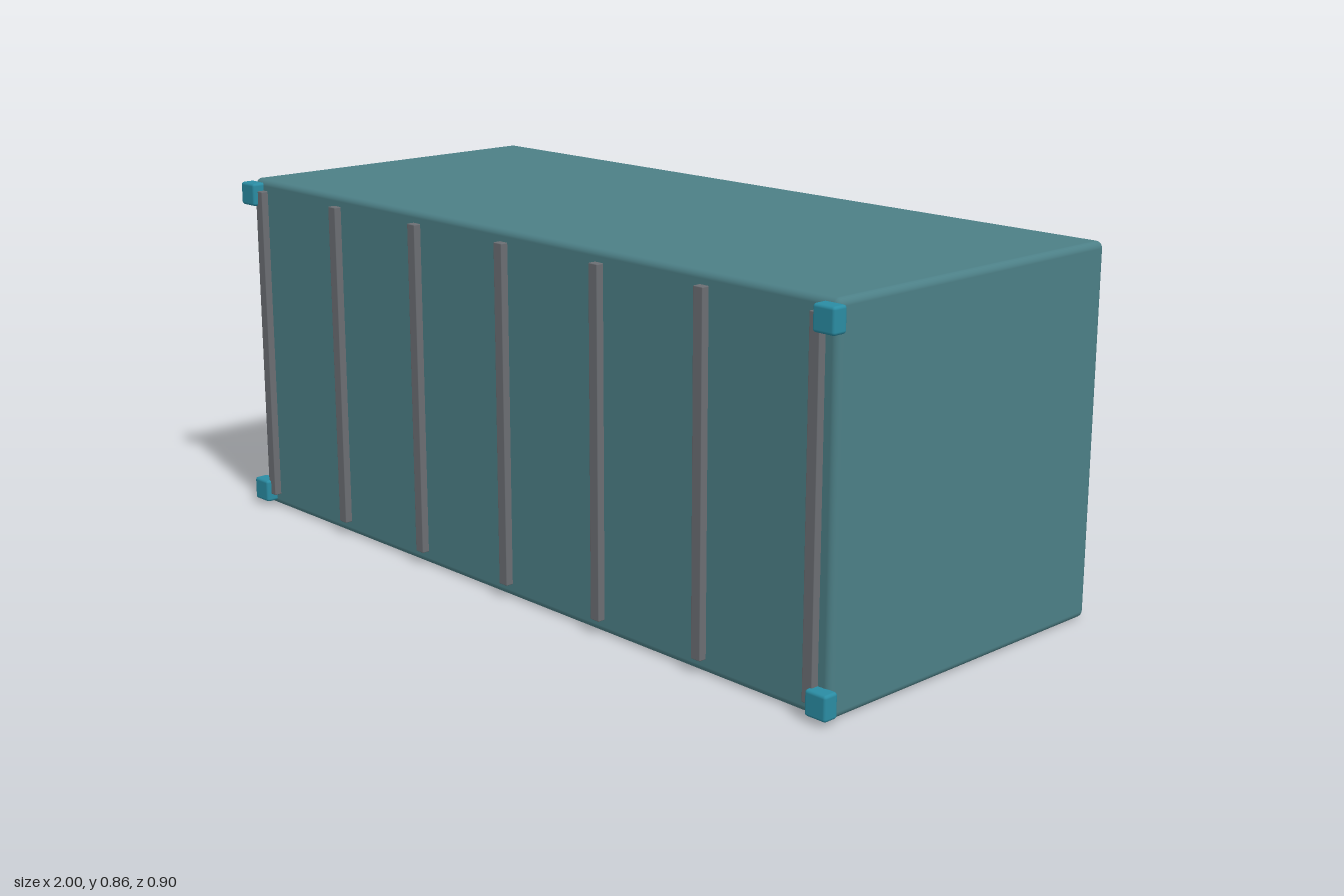
import * as THREE from 'three';
import { RoundedBoxGeometry } from 'three/addons/geometries/RoundedBoxGeometry.js';

export function createModel() {
  const model = new THREE.Group();
  model.name = 'cargoContainer';
  const bodyMat = new THREE.MeshStandardMaterial({ color: 0x4c7f86 });
  const ribMat = new THREE.MeshStandardMaterial({ color: 0x6b6e73 });
  const cornerMat = new THREE.MeshStandardMaterial({ color: 0x2a8ca3 });

  function add(name, geometry, material, x, y, z) {
    const mesh = new THREE.Mesh(geometry, material);
    mesh.name = name;
    mesh.position.set(x, y, z);
    model.add(mesh);
  }

  // Main box with softened edges
  add('body', new RoundedBoxGeometry(1.97, 0.856, 0.854, 3, 0.016), bodyMat, 0, 0.43, -0.007);

  // Vertical ribs along the front and back walls
  const ribGeo = new RoundedBoxGeometry(0.027, 0.796, 0.036, 1, 0.002);
  for (let i = -3; i <= 3; i++) {
    add('frontRib', ribGeo, ribMat, i * 0.313, 0.432, 0.42);
    add('backRib', ribGeo, ribMat, i * 0.313, 0.432, -0.432);
  }

  // Corner castings on the front face
  const cornerGeo = new RoundedBoxGeometry(0.057, 0.057, 0.038, 2, 0.007);
  for (const x of [-0.9715, 0.9715]) {
    for (const y of [0.042, 0.821]) add('cornerCasting', cornerGeo, cornerMat, x, y, 0.431);
  }
  return model;
}
